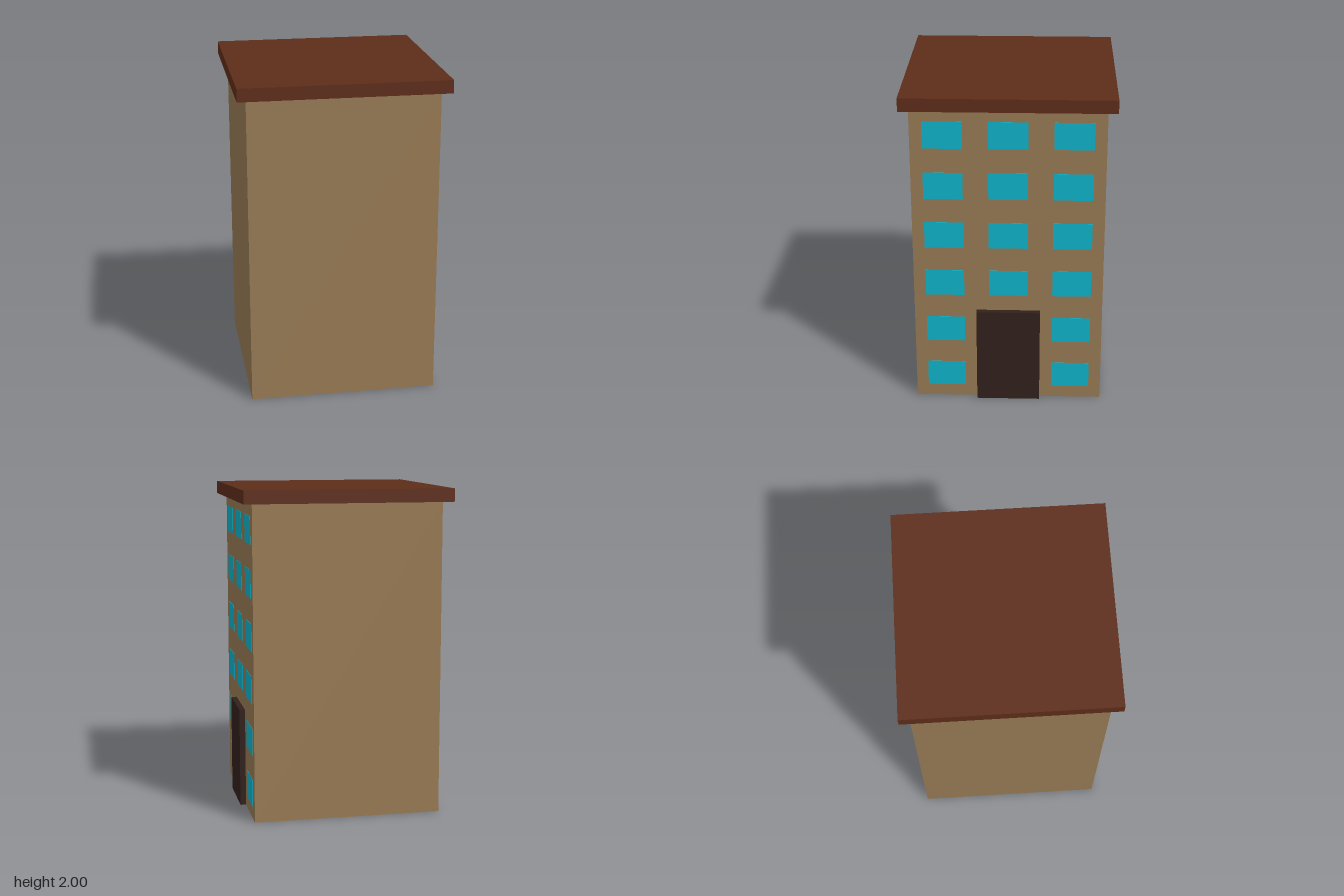
import * as THREE from 'three';

const WALL = 0.576; // half width of the tower
const ROOF_Y = 1.92;

function material(color) {
  return new THREE.MeshStandardMaterial({ color });
}

function box(name, size, position, mat) {
  const mesh = new THREE.Mesh(new THREE.BoxGeometry(...size), mat);
  mesh.position.set(...position);
  mesh.name = name;
  return mesh;
}

export function createModel() {
  const building = new THREE.Group();
  building.name = 'apartmentBuilding';

  // Walls and overhanging flat roof
  building.add(box('walls', [WALL * 2, ROOF_Y, WALL * 2], [0, ROOF_Y / 2, 0], material(0x987b55)));
  building.add(box('roof', [1.264, 0.08, 1.264], [0, 1.96, 0], material(0x5e2d1a)));

  // Entrance door, standing proud of the +x wall
  building.add(box('door', [0.04, 0.615, 0.39], [WALL + 0.015, 0.3075, 0], material(0x32211c)));

  // Six floors of nearly flush windows; the door replaces the lower middle two
  const windows = new THREE.Group();
  windows.name = 'windows';
  const glass = material(0x0fb4cb);
  for (let floor = 0; floor < 6; floor++) {
    for (let column = -1; column <= 1; column++) {
      if (column === 0 && floor < 2) continue;
      const position = [WALL, 0.162 + floor * 0.3195, column * 0.386];
      windows.add(box('window', [0.004, 0.168, 0.235], position, glass));
    }
  }
  building.add(windows);

  return building;
}
